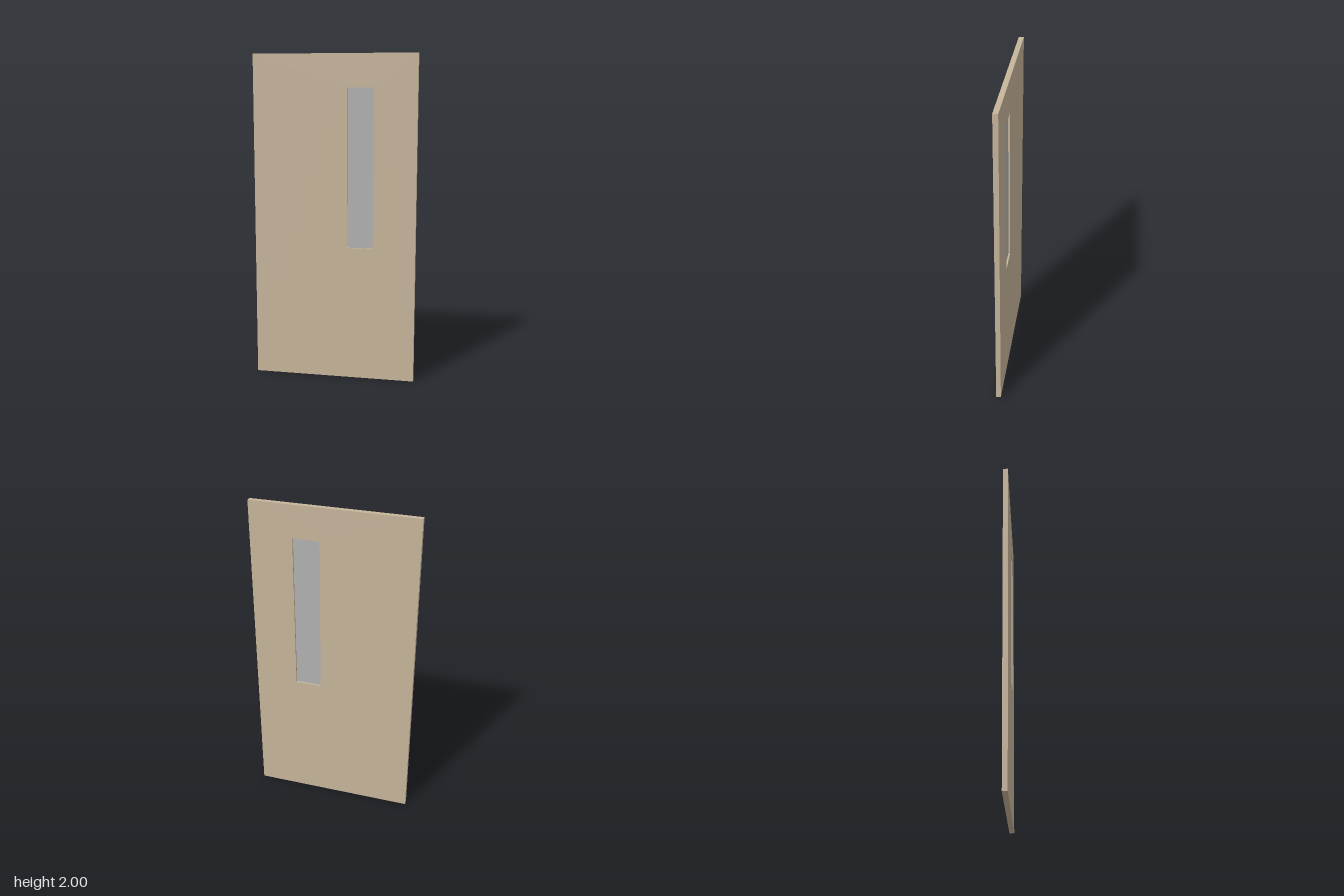
import * as THREE from 'three';

const WIDTH = 1, HEIGHT = 2, DEPTH = 0.03;
const WINDOW = { left: 0.08, right: 0.24, bottom: 0.83, top: 1.8 };

// Closed rectangular outline, used for the door edge and its opening
function rectangle(Type, x0, x1, y0, y1) {
  return new Type([
    new THREE.Vector2(x0, y0),
    new THREE.Vector2(x1, y0),
    new THREE.Vector2(x1, y1),
    new THREE.Vector2(x0, y1),
  ]);
}

export function createModel() {
  const wood = new THREE.MeshStandardMaterial({ color: 0xc8b69c });
  wood.name = 'tan wood';
  const glass = new THREE.MeshStandardMaterial({ color: 0xb2b2b2 });
  glass.name = 'grey glass';

  const door = new THREE.Group();
  door.name = 'door';

  // Door leaf with a tall, narrow opening cut through it
  const { left, right, bottom, top } = WINDOW;
  const outline = rectangle(THREE.Shape, -WIDTH / 2, WIDTH / 2, 0, HEIGHT);
  outline.holes.push(rectangle(THREE.Path, left, right, bottom, top));
  const leafGeometry = new THREE.ExtrudeGeometry(outline, { depth: DEPTH, bevelEnabled: false });
  leafGeometry.translate(0, 0, -DEPTH / 2);
  const leaf = new THREE.Mesh(leafGeometry, wood);
  leaf.name = 'doorLeaf';
  door.add(leaf);

  // Thin pane recessed in the middle of the opening
  const pane = new THREE.Mesh(new THREE.BoxGeometry(right - left, top - bottom, 0.008), glass);
  pane.name = 'windowPane';
  pane.position.set((left + right) / 2, (bottom + top) / 2, 0);
  door.add(pane);

  return door;
}
